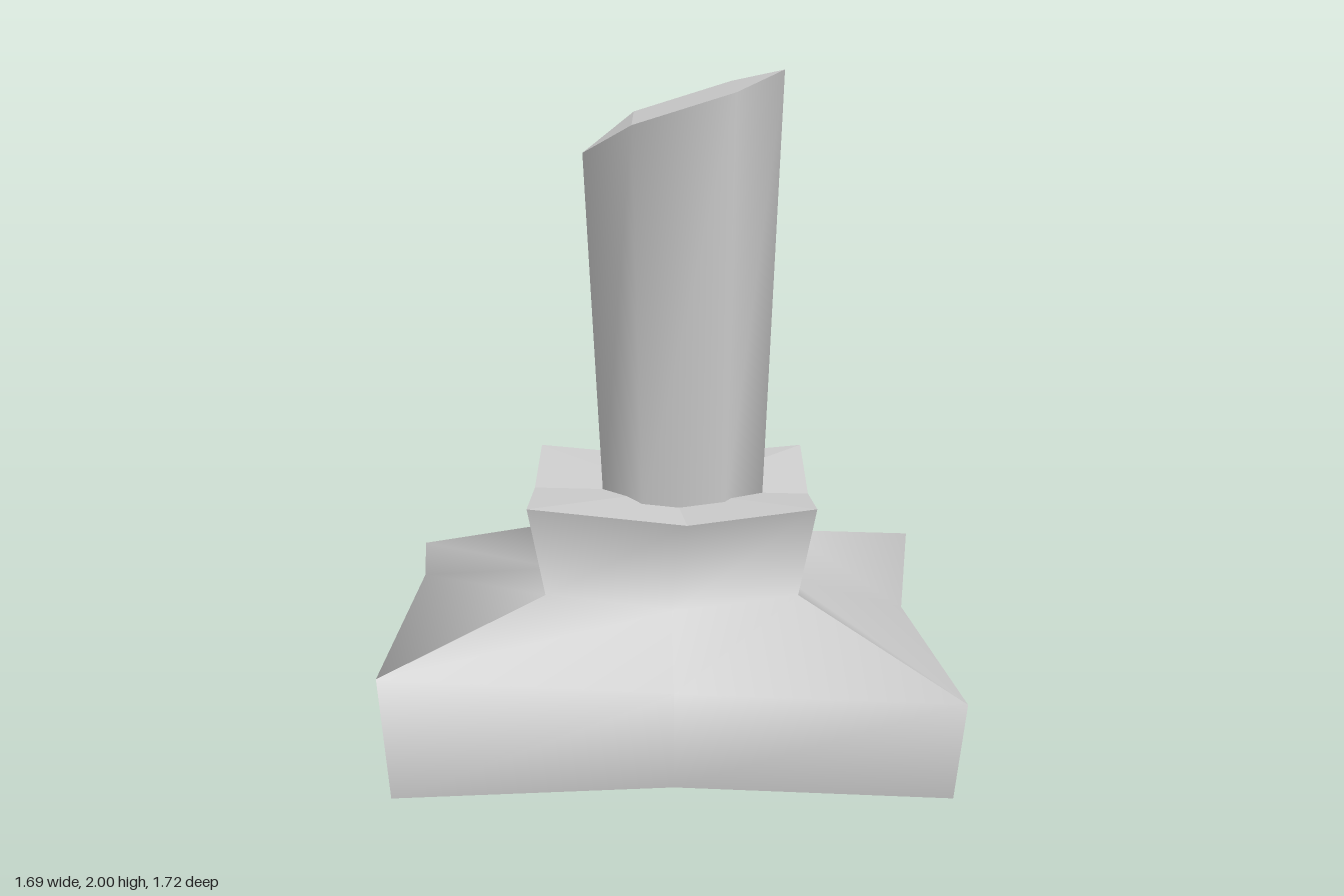
import * as THREE from 'three';

const stone = new THREE.MeshStandardMaterial({ color: 0xcccccc, side: THREE.DoubleSide });
stone.name = 'grey stone';

function makeMesh(name, geometry) {
  const mesh = new THREE.Mesh(geometry, stone);
  mesh.name = name;
  return mesh;
}

// Smooth strip through rows of points; rows go up, columns counter-clockwise from above
function strip(rows) {
  const n = rows[0].length, index = [];
  for (let r = 0; r < rows.length - 1; r++) {
    for (let c = 0; c < n - 1; c++) {
      const a = r * n + c, b = a + 1, d = a + n, e = d + 1;
      index.push(a, b, e, a, e, d);
    }
  }
  const g = new THREE.BufferGeometry();
  g.setAttribute('position', new THREE.Float32BufferAttribute(rows.flat(2), 3));
  g.setIndex(index);
  g.computeVertexNormals();
  return g;
}

// Flat-faced fan spreading from the first point
function fan(points) {
  const pos = [];
  for (let i = 1; i < points.length - 1; i++) pos.push(...points[0], ...points[i], ...points[i + 1]);
  const g = new THREE.BufferGeometry();
  g.setAttribute('position', new THREE.Float32BufferAttribute(pos, 3));
  g.computeVertexNormals();
  return g;
}

export function createModel() {
  const model = new THREE.Group();
  model.name = 'brokenPillar';

  // Plinth rings: front-left corner, front middle, front-right corner, and so on around
  const foot = [
    [-0.78, 0, 0.825], [0.02, 0, 0.74], [0.81, 0, 0.825], [0.72, 0, -0.08],
    [0.81, 0, -0.78], [0.06, 0, -0.69], [-0.8, 0, -0.81], [-0.73, 0, 0],
  ];
  const shoulder = [
    [-0.81, 0.365, 0.86], [0.02, 0.29, 0.77], [0.84, 0.29, 0.86], [0.75, 0.29, -0.08],
    [0.84, 0.34, -0.8], [0.06, 0.32, -0.72], [-0.85, 0.29, -0.86], [-0.76, 0.42, 0],
  ];
  const neck = [
    [-0.36, 0.475, 0.41], [0.015, 0.42, 0.39], [0.39, 0.475, 0.41], [0.37, 0.42, 0.03],
    [0.39, 0.475, -0.34], [0.015, 0.43, -0.33], [-0.36, 0.5, -0.34], [-0.34, 0.45, 0.03],
  ];
  const rim = [
    [-0.41, 0.75, 0.46], [0.06, 0.7, 0.46], [0.44, 0.75, 0.46], [0.44, 0.69, 0.03],
    [0.44, 0.75, -0.395], [0.015, 0.71, -0.395], [-0.41, 0.75, -0.395], [-0.41, 0.71, 0.03],
  ];

  // Four separate sides keep the corner edges sharp
  const plinth = new THREE.Group();
  plinth.name = 'plinth';
  ['front', 'left', 'back', 'right'].forEach((side, i) => {
    const rows = [foot, shoulder, neck, rim].map((ring) => [0, 1, 2].map((k) => ring[(2 * i + k) % 8]));
    plinth.add(makeMesh(side + 'Side', strip(rows)));
  });
  plinth.add(makeMesh('plinthTop', fan([[0.015, 0.7, 0.03], ...rim, rim[0]])));
  model.add(plinth);

  // Six-sided shaft, widening upward and broken off at a slant
  const breakHeights = [1.855, 1.75, 1.855, 1.95, 2, 1.95];
  const ringAt = (radius, height) => breakHeights.map((_, i) => {
    const a = (-120 - i * 60) * Math.PI / 180;
    return [0.05 + radius * Math.cos(a), height(i), 0.03 + radius * Math.sin(a)];
  });
  const lower = ringAt(0.247, () => 0.67);
  const upper = ringAt(0.305, (i) => breakHeights[i]);
  const closed = (ring) => [...ring, ring[0]];
  model.add(makeMesh('shaft', strip([closed(lower), closed(upper)])));
  model.add(makeMesh('brokenTop', fan(upper)));

  return model;
}
